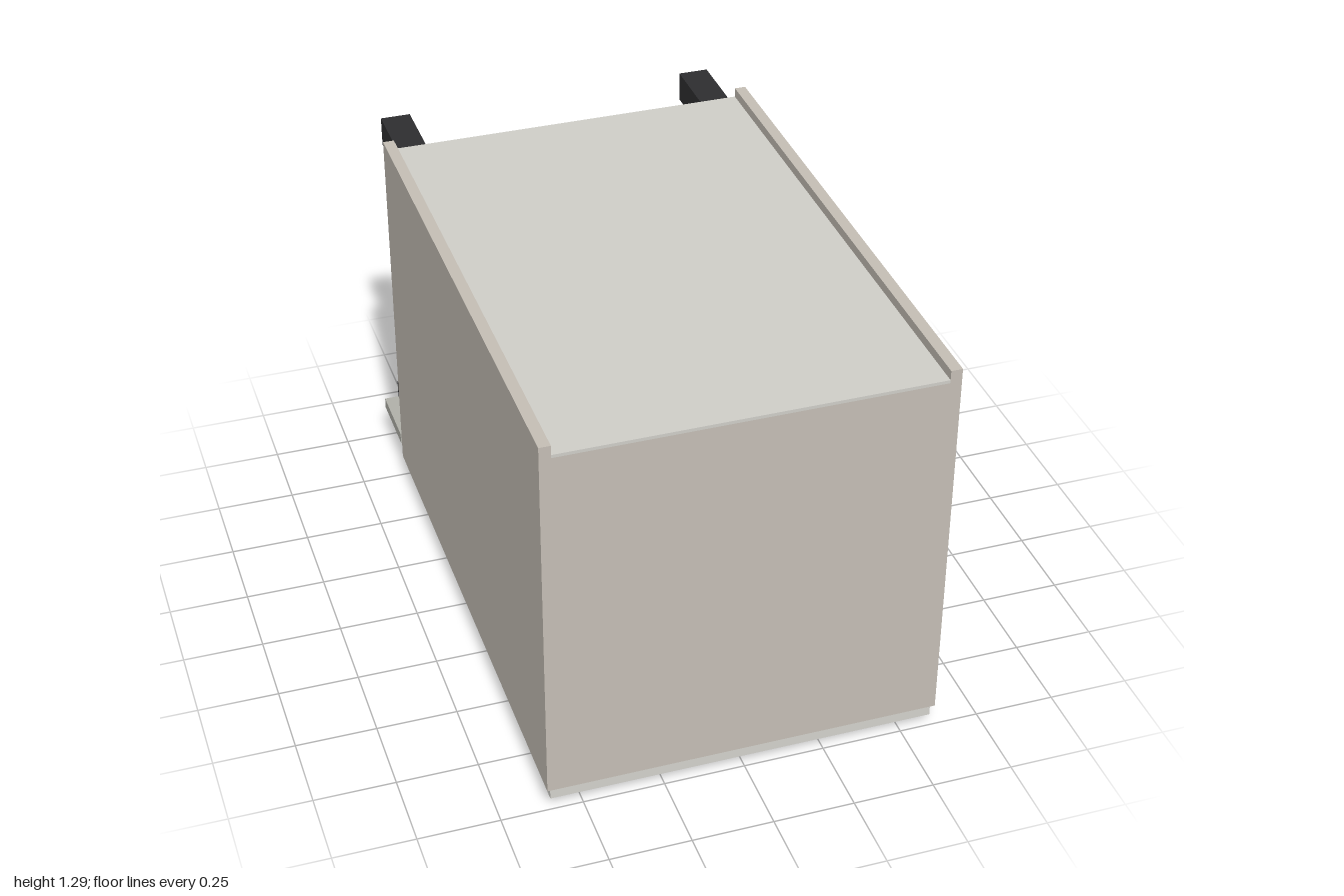
import * as THREE from 'three';

const paint = (color) => new THREE.MeshStandardMaterial({ color });

export function createModel() {
  const model = new THREE.Group();
  const shell = paint(0xc4beb5), front = paint(0xd3d2cc), back = paint(0xcfcec8);
  const rail = paint(0xb0b0a9), metal = paint(0x808084), black = paint(0x2e2e30);

  // Box given by its extents along each axis
  function box(name, material, [x0, x1], [y0, y1], [z0, z1]) {
    const mesh = new THREE.Mesh(new THREE.BoxGeometry(x1 - x0, y1 - y0, z1 - z0), material);
    mesh.position.set((x0 + x1) / 2, (y0 + y1) / 2, (z0 + z1) / 2);
    mesh.name = name;
    model.add(mesh);
  }

  // Cabinet shell, lying on its drawer fronts
  const inner = 0.573, outer = 0.608;
  box('leftSide', shell, [inner, outer], [0.072, 1.29], [-0.757, 1]);
  box('rightSide', shell, [-outer, -inner], [0.072, 1.29], [-0.757, 1]);
  box('topPanel', shell, [-inner, inner], [0.072, 1.25], [0.963, 1]);
  box('bottomPanel', shell, [-inner, inner], [0.072, 1.25], [-0.757, -0.72]);
  box('backPanel', back, [-inner, inner], [1.25, 1.26], [-0.757, 1]);

  // Four shallow drawers and one deep one, each with a bar handle
  const drawers = [
    [0.73, 0.99, 0.865], [0.457, 0.717, 0.592], [0.184, 0.444, 0.319],
    [-0.089, 0.171, 0.046], [-0.747, -0.102, -0.28],
  ];
  for (const [z0, z1, handleZ] of drawers) {
    box('drawerFront', front, [-0.597, 0.597], [0.032, 0.072], [z0, z1]);
    box('drawerHandle', metal, [-0.118, 0.118], [0, 0.032], [handleZ - 0.014, handleZ + 0.014]);
  }

  // Square feet
  for (const x of [-0.512, 0.512]) {
    for (const y of [0.167, 1.195]) {
      box('foot', black, [x - 0.048, x + 0.048], [y - 0.048, y + 0.048], [-1, -0.757]);
    }
  }

  // Plinth board clipped to the front feet
  box('plinth', rail, [-outer, outer], [0.116, 0.153], [-0.999, -0.773]);
  return model;
}
